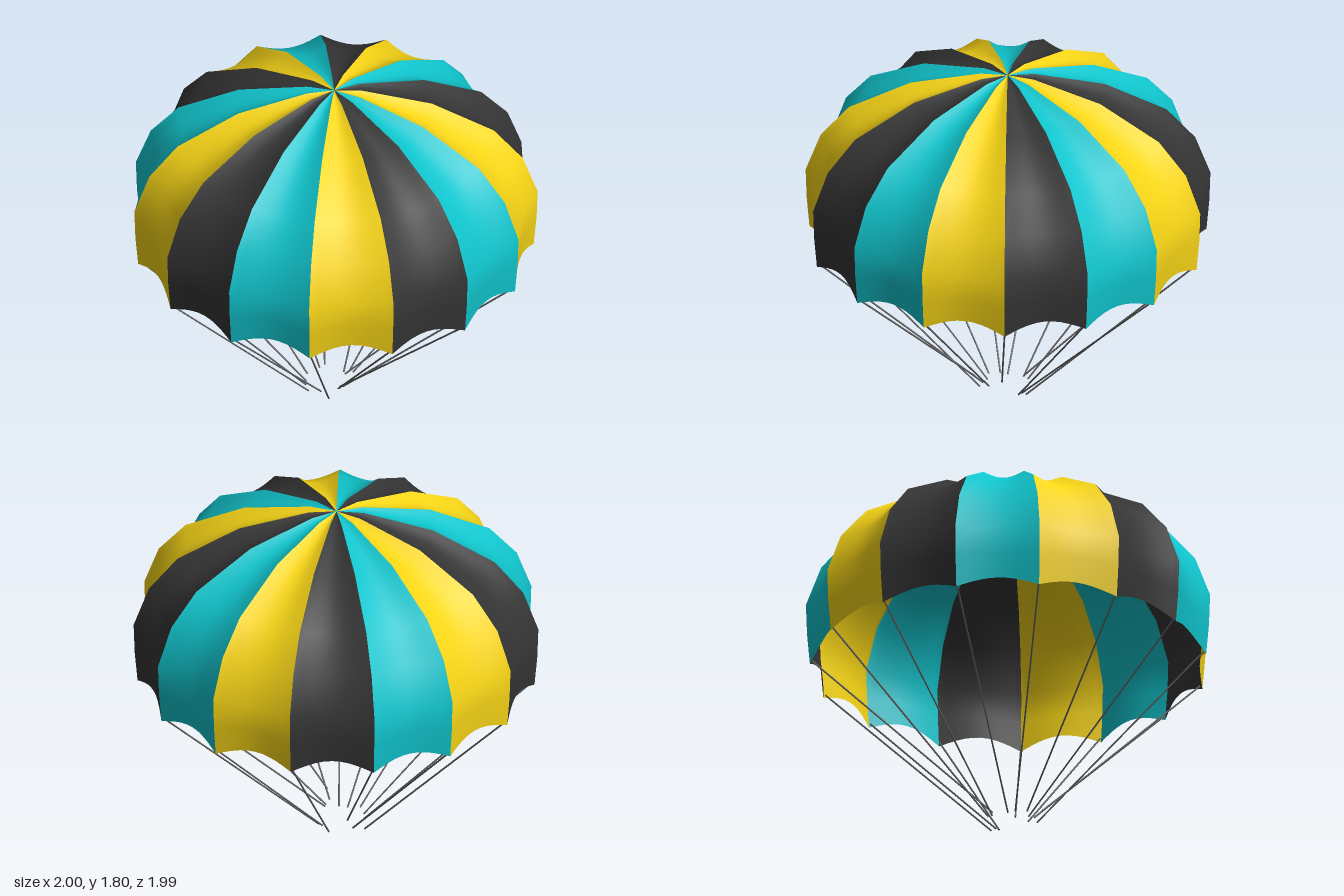
import * as THREE from 'three';

const GORES = 15;
const STEP = (Math.PI * 2) / GORES;
const CENTER_Z = 0.011;
const ACROSS = 10;

// Ridge profile: radius, height, inward sag of the cloth between ridges
const PROFILE = [
  [0, 1.795, 0],
  [0.136, 1.795, 0.012],
  [0.483, 1.72, 0.032],
  [0.789, 1.56, 0.036],
  [0.93, 1.395, 0.03],
  [1.0055, 1.19, 0.024],
  [1.0, 1.03, 0.022],
  [0.986, 0.87, 0.022],
];

// Loose lower end of each cord, going round from the front
const CORD_ENDS = [
  [0.02, 0.01, 0.15], [0.06, 0.06, 0.12], [0.08, 0.1, 0.155], [0.07, 0.05, 0.085], [0.06, 0.08, 0.02],
  [0.07, 0.03, -0.07], [0.05, 0.03, -0.08], [0.015, 0.005, -0.09], [-0.07, 0.06, -0.05], [-0.1, 0.025, -0.06],
  [-0.15, 0.003, -0.02], [-0.13, 0.015, 0.055], [-0.12, 0.02, 0.09], [-0.09, 0.025, 0.14], [-0.03, 0.025, 0.125],
];

// One cloth panel: flat chord between two ridges, sagging inward, with a scalloped hem
function goreGeometry() {
  const positions = [];
  const index = [];
  const last = PROFILE.length - 1;
  PROFILE.forEach(([r, y, sag], i) => {
    const a = PROFILE[Math.max(i - 1, 0)];
    const b = PROFILE[Math.min(i + 1, last)];
    const tangent = new THREE.Vector2(b[0] - a[0], b[1] - a[1]).normalize();
    const hem = i === last ? 0.05 : i === last - 1 ? 0.02 : 0;
    for (let j = 0; j <= ACROSS; j++) {
      const t = j / ACROSS;
      const wave = Math.sin(Math.PI * t);
      const x = r * Math.sin(STEP / 2) * (2 * t - 1);
      const z = r * Math.cos(STEP / 2) + tangent.y * sag * wave;
      positions.push(x, y - tangent.x * sag * wave + hem * wave, z);
    }
  });
  const row = ACROSS + 1;
  for (let i = 0; i < last; i++) {
    for (let j = 0; j < ACROSS; j++) {
      const p = i * row + j;
      if (i > 0) index.push(p, p + row, p + 1);
      index.push(p + 1, p + row, p + row + 1);
    }
  }
  const geometry = new THREE.BufferGeometry();
  geometry.setAttribute('position', new THREE.Float32BufferAttribute(positions, 3));
  geometry.setIndex(index);
  geometry.computeVertexNormals();
  return geometry;
}

// Thin straight cord between two points
function cord(from, to, material) {
  const geometry = new THREE.CylinderGeometry(0.0045, 0.0045, from.distanceTo(to), 6);
  const mesh = new THREE.Mesh(geometry, material);
  mesh.position.copy(from).add(to).multiplyScalar(0.5);
  mesh.quaternion.setFromUnitVectors(new THREE.Vector3(0, 1, 0), from.clone().sub(to).normalize());
  return mesh;
}

export function createModel() {
  const model = new THREE.Group();
  model.name = 'parachute';

  // Canopy of teal, yellow and black panels
  const canopy = new THREE.Group();
  canopy.name = 'canopy';
  canopy.position.z = CENTER_Z;
  const cloth = [0x10c4cc, 0xf7d516, 0x353535].map(
    (color) => new THREE.MeshStandardMaterial({ color, side: THREE.DoubleSide })
  );
  const gore = goreGeometry();
  for (let i = 0; i < GORES; i++) {
    const panel = new THREE.Mesh(gore, cloth[i % 3]);
    panel.name = 'canopyPanel';
    panel.rotation.y = i * STEP;
    canopy.add(panel);
  }
  model.add(canopy);

  // Cords from the foot of each ridge
  const cords = new THREE.Group();
  cords.name = 'suspensionCords';
  const cordMaterial = new THREE.MeshStandardMaterial({ color: 0x666666 });
  CORD_ENDS.forEach((end, i) => {
    const angle = (i + 0.5) * STEP;
    const top = new THREE.Vector3(0.975 * Math.sin(angle), 0.885, CENTER_Z + 0.975 * Math.cos(angle));
    const line = cord(top, new THREE.Vector3(...end), cordMaterial);
    line.name = 'cord';
    cords.add(line);
  });
  model.add(cords);

  return model;
}
